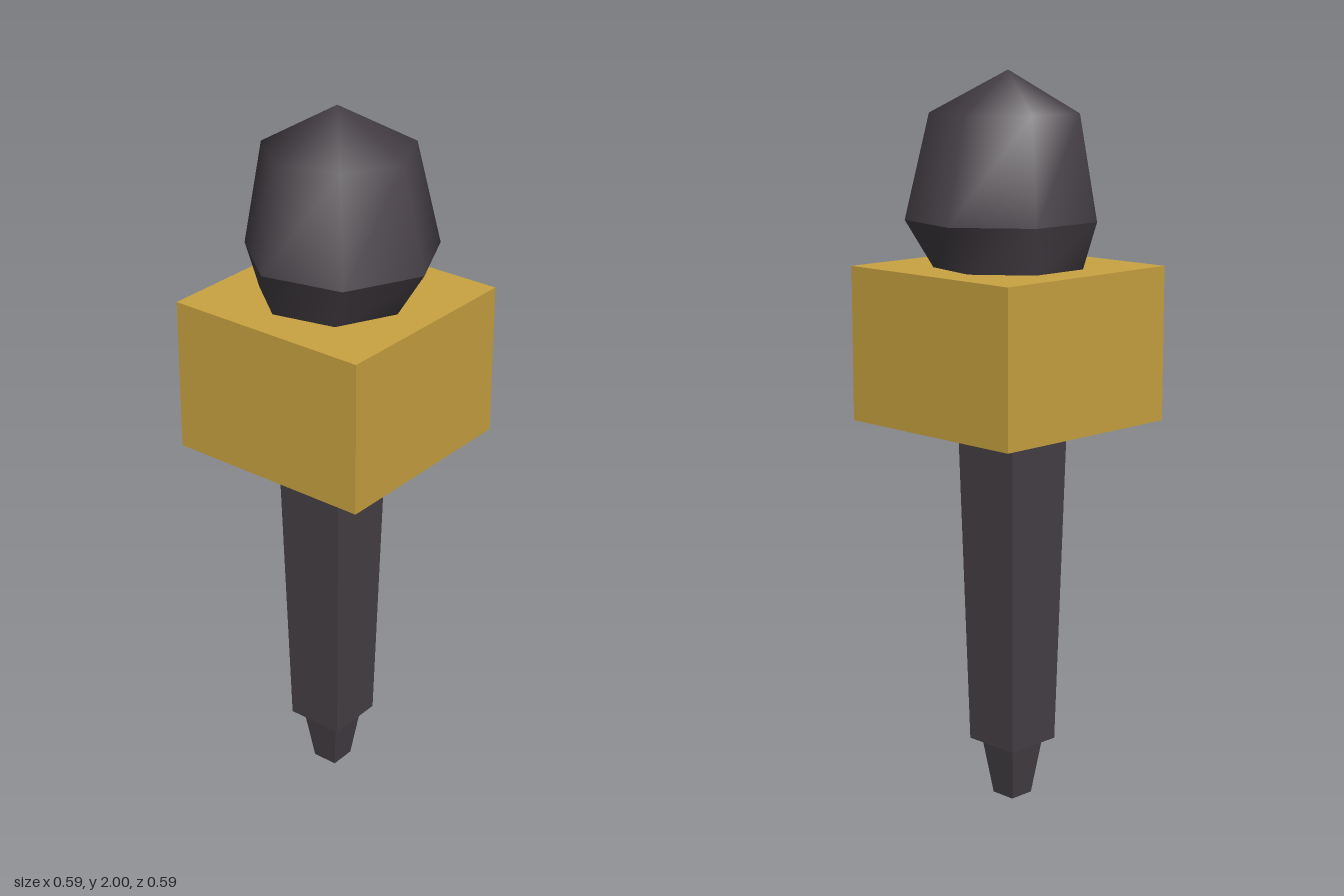
import * as THREE from 'three';
import { mergeVertices } from 'three/addons/utils/BufferGeometryUtils.js';

// Skin a stack of regular polygon rings [y, radius, centreX, centreZ], bottom to top.
function loft(rings, sides, startAngle, smooth) {
  const positions = [];
  const index = [];
  for (const [y, r, cx, cz] of rings) {
    for (let i = 0; i < sides; i++) {
      const a = startAngle + (i / sides) * Math.PI * 2;
      positions.push(cx + r * Math.cos(a), y, cz - r * Math.sin(a));
    }
  }
  for (let k = 0; k < rings.length - 1; k++) {
    for (let i = 0; i < sides; i++) {
      const j = (i + 1) % sides;
      const a = k * sides + i, b = k * sides + j;
      const c = b + sides, d = a + sides;
      // A zero radius ring is a point, so skip its empty triangles
      if (rings[k][1] > 0) index.push(a, b, c);
      if (rings[k + 1][1] > 0) index.push(a, c, d);
    }
  }
  let geometry = new THREE.BufferGeometry();
  geometry.setAttribute('position', new THREE.Float32BufferAttribute(positions, 3));
  geometry.setIndex(index);
  geometry = smooth ? mergeVertices(geometry) : geometry.toNonIndexed();
  geometry.computeVertexNormals();
  return geometry;
}

// Closed, flat-sided square post; rings are [y, halfWidth].
function squarePost(rings, x, z) {
  const full = rings.map(([y, h]) => [y, h * Math.SQRT2, x, z]);
  const first = full[0], last = full[full.length - 1];
  return loft([[first[0], 0, x, z], ...full, [last[0], 0, x, z]], 4, Math.PI / 4, false);
}

export function createModel() {
  const group = new THREE.Group();
  const charcoal = new THREE.MeshStandardMaterial({ color: 0x464046 });
  charcoal.name = 'charcoal';
  const gold = new THREE.MeshStandardMaterial({ color: 0xc9a341 });
  gold.name = 'gold';

  const add = (name, geometry, material) => {
    const mesh = new THREE.Mesh(geometry, material);
    mesh.name = name;
    group.add(mesh);
    return mesh;
  };

  // Narrow end plug and tapered handle
  add('endPlug', squarePost([[0, 0.037], [0.165, 0.06]], -0.017, 0), charcoal);
  add('handle', squarePost([[0.16, 0.083], [1.1, 0.105]], -0.017, 0), charcoal);

  // Square block around the neck
  const block = add('block', new THREE.BoxGeometry(0.59, 0.42, 0.59), gold);
  block.position.set(0, 1.275, 0);

  // Seven-sided head: smooth dome above a crease, tapered band below
  const rim = [1.61, 0.261, 0.013, -0.006];
  add('headDome', loft([rim, [1.89, 0.203, 0.004, -0.003], [2, 0, 0, 0]], 7, 0, true), charcoal);
  add('headBase', loft([[1.47, 0.197, -0.01, 0], rim], 7, 0, true), charcoal);

  return group;
}
